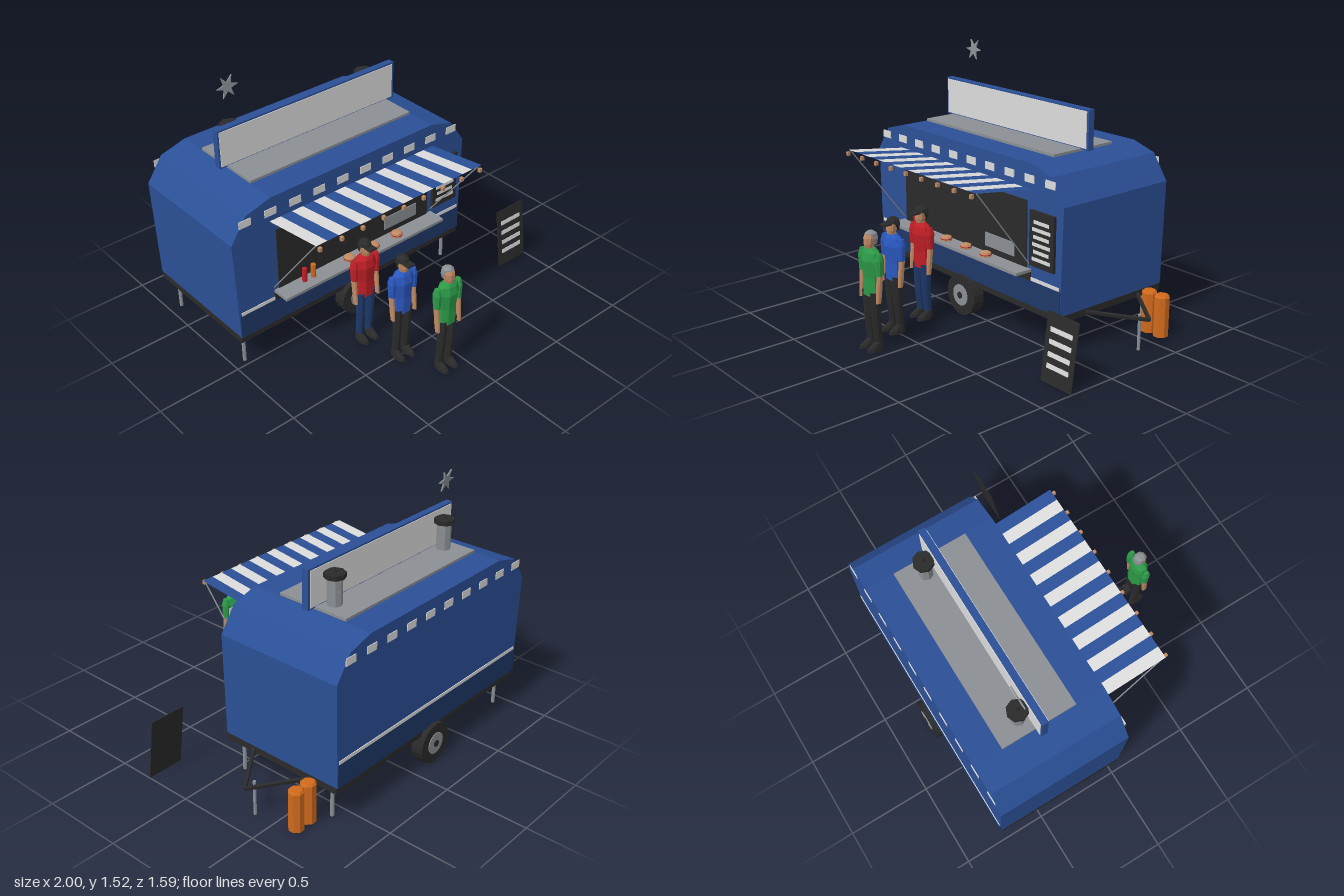
import * as THREE from 'three';

const mat = (name, color) => {
  const m = new THREE.MeshStandardMaterial({ color, flatShading: true });
  m.name = name;
  return m;
};

export function createModel() {
  const M = {
    blue: mat('bodyBlue', 0x2b5097), navy: mat('navy', 0x1e3869), white: mat('offWhite', 0xdcdcdc),
    dark: mat('charcoal', 0x2a2a2a), grey: mat('metalGrey', 0x8b9094), orange: mat('orange', 0xd06a1c),
    skin: mat('skin', 0xc08a64), red: mat('red', 0xc01f26), green: mat('green', 0x2c9a48),
    shirt: mat('brightBlue', 0x2a58c0),
  };
  const model = new THREE.Group();
  model.name = 'foodTrailer';

  const add = (name, geo, m, x = 0, y = 0, z = 0, parent = model) => {
    const mesh = new THREE.Mesh(geo, m);
    mesh.name = name;
    mesh.position.set(x, y, z);
    parent.add(mesh);
    return mesh;
  };
  // Box given by its limits on each axis
  const box = (name, m, x0, x1, y0, y1, z0, z1, parent) =>
    add(name, new THREE.BoxGeometry(x1 - x0, y1 - y0, z1 - z0), m,
      (x0 + x1) / 2, (y0 + y1) / 2, (z0 + z1) / 2, parent);
  // Upright cylinder from y0 to y1
  const post = (name, m, x, z, r, y0, y1, sides = 8) =>
    add(name, new THREE.CylinderGeometry(r, r, y1 - y0, sides), m, x, (y0 + y1) / 2, z);
  // Rod between two points
  const rod = (name, m, a, b, r, sides = 6) => {
    const p = new THREE.Vector3(...a), q = new THREE.Vector3(...b), d = q.clone().sub(p);
    const mesh = add(name, new THREE.CylinderGeometry(r, r, d.length(), sides), m);
    mesh.position.copy(p).add(q).multiplyScalar(0.5);
    mesh.quaternion.setFromUnitVectors(new THREE.Vector3(0, 1, 0), d.normalize());
    return mesh;
  };
  // Closed solid through elliptical rings [y, rx, rz, zOffset], bottom to top
  const loft = (rings, n = 8) => {
    const pos = [], idx = [];
    const full = [[rings[0][0], 0, 0, rings[0][3]], ...rings, [rings.at(-1)[0], 0, 0, rings.at(-1)[3]]];
    full.forEach(([y, rx, rz, dz = 0], k) => {
      for (let i = 0; i < n; i++) {
        const a = ((i + 0.5) / n) * Math.PI * 2;
        pos.push(Math.sin(a) * rx, y, Math.cos(a) * rz + dz);
        if (k === 0) continue;
        const j = (i + 1) % n, p = (k - 1) * n, q = k * n;
        idx.push(p + i, p + j, q + j, p + i, q + j, q + i);
      }
    });
    const g = new THREE.BufferGeometry();
    g.setAttribute('position', new THREE.Float32BufferAttribute(pos, 3));
    g.setIndex(idx);
    g.computeVertexNormals();
    return g;
  };

  const F = 0.035, B = -0.76; // front and back faces of the body

  // Body shell
  const outline = [[-0.98, 0.235], [0.64, 0.235], [0.655, 0.85], [0.555, 0.995], [0.4, 1.04],
    [-0.74, 1.04], [-0.9, 0.995], [-1, 0.85]];
  const shell = new THREE.Shape(outline.map(([x, y]) => new THREE.Vector2(x, y)));
  add('body', new THREE.ExtrudeGeometry(shell, { depth: F - B, bevelEnabled: false }), M.blue, 0, 0, B);
  box('chassis', M.dark, -0.98, 0.64, 0.195, 0.235, B + 0.005, F - 0.005);

  // Painted bands and light squares on both long sides
  for (const [z0, z1] of [[F, F + 0.004], [B - 0.004, B]]) {
    box('lowerBand', M.navy, -0.98, 0.64, 0.235, 0.38, z0, z1);
    box('trimStripe', M.white, -0.97, 0.63, 0.38, 0.4, z0, z1);
    for (let i = 0; i < 10; i++) {
      const x = -0.91 + i * 0.1625;
      box('trimSquare', M.white, x - 0.038, x + 0.038, 0.932, 0.976, z0, z1);
    }
  }

  // Serving hatch, counter and goods
  box('hatch', M.dark, -0.72, 0.375, 0.44, 0.83, F, F + 0.006);
  box('hatchWindow', M.grey, 0.035, 0.28, 0.485, 0.565, F + 0.006, F + 0.012);
  box('counterApron', M.dark, -0.75, 0.41, 0.38, 0.43, F, F + 0.009);
  box('counter', M.grey, -0.75, 0.41, 0.43, 0.447, F, 0.145);
  post('redBottle', M.red, -0.575, 0.08, 0.015, 0.447, 0.53);
  post('orangeBottle', M.orange, -0.515, 0.08, 0.015, 0.447, 0.53);
  for (const x of [-0.265, -0.085, 0.09]) {
    post('bunBottom', M.skin, x, 0.09, 0.034, 0.447, 0.456);
    post('filling', M.red, x, 0.09, 0.035, 0.456, 0.461);
    add('bunTop', loft([[0.461, 0.034, 0.034, 0], [0.47, 0.03, 0.03, 0], [0.476, 0.015, 0.015, 0]]), M.skin, x, 0, 0.09);
  }

  // Striped awning with struts and bulbs
  const awning = new THREE.Group();
  awning.name = 'awning';
  awning.position.set(-0.172, 0.895, F);
  awning.rotation.x = -Math.atan2(0.053, 0.39);
  model.add(awning);
  const reach = Math.hypot(0.39, 0.053), W = 1.166, sw = W / 16;
  for (let i = 0; i < 16; i++) {
    const g = new THREE.PlaneGeometry(sw, reach).rotateX(-Math.PI / 2);
    add('awningStripe', g, i % 2 ? M.blue : M.white, -W / 2 + (i + 0.5) * sw, 0.002, reach / 2, awning);
  }
  add('awningUnderside', new THREE.PlaneGeometry(W, reach).rotateX(Math.PI / 2), M.navy, 0, 0, reach / 2, awning);
  for (const x of [-0.748, 0.405]) rod('awningStrut', M.grey, [x, 0.463, F], [x, 0.945, 0.415], 0.004);
  for (let i = 0; i < 9; i++) {
    const x = -0.74 + i * 0.141;
    box('bulb', M.skin, x - 0.009, x + 0.009, 0.92, 0.942, 0.427, 0.445);
  }

  // Wall menu
  box('wallMenu', M.dark, 0.41, 0.6, 0.475, 0.79, F, 0.053);
  for (let i = 0; i < 6; i++) {
    const y = 0.73 - i * 0.042, h = i % 2 ? 0.07 : 0.06;
    box('menuLine', M.white, 0.505 - h, 0.505 + h, y - 0.01, y + 0.01, 0.053, 0.056);
  }

  // Roof plate, sign board and chimneys
  box('roofPlate', M.grey, -0.74, 0.39, 1.04, 1.055, -0.59, -0.14);
  box('signBoard', M.blue, -0.79, 0.445, 1.05, 1.28, -0.385, -0.345);
  box('signFace', M.white, -0.78, 0.43, 1.06, 1.27, -0.345, -0.341);
  box('signBack', M.white, -0.78, 0.43, 1.06, 1.27, -0.389, -0.385);
  for (const x of [-0.645, 0.3]) {
    post('chimney', M.grey, x, -0.44, 0.042, 1.055, 1.21);
    post('chimneyCap', M.dark, x, -0.44, 0.06, 1.21, 1.237);
    add('capTip', new THREE.ConeGeometry(0.012, 0.025, 6), M.dark, x, 1.248, -0.44);
  }

  // Floating six-pointed star
  const star = new THREE.Shape(Array.from({ length: 12 }, (_, i) => {
    const a = (i * Math.PI) / 6, r = i % 2 ? 0.026 : 0.068;
    return new THREE.Vector2(Math.cos(a) * r, Math.sin(a) * r);
  }));
  add('star', new THREE.ExtrudeGeometry(star, { depth: 0.008, bevelEnabled: false }), M.grey, -0.645, 1.46, -0.44)
    .rotation.x = -0.12;

  // Wheels and axle
  rod('axle', M.dark, [-0.17, 0.125, -0.74], [-0.17, 0.125, 0.03], 0.016);
  for (const [z, s] of [[0.025, 1], [-0.752, -1]]) {
    const wheel = (name, m, r, t, dz) =>
      add(name, new THREE.CylinderGeometry(r, r, t, 18).rotateX(Math.PI / 2), m, -0.17, 0.125, z + s * dz);
    wheel('tyre', M.dark, 0.123, 0.075, 0);
    wheel('rim', M.grey, 0.065, 0.006, 0.039);
    wheel('hub', M.dark, 0.02, 0.008, 0.044);
  }

  // Legs, tow frame and gas bottles
  for (const x of [-0.925, 0.585]) for (const z of [-0.04, -0.68]) post('leg', M.grey, x, z, 0.011, 0, 0.2);
  for (const z of [-0.58, -0.16]) rod('towBeam', M.dark, [0.63, 0.215, z], [0.915, 0.2, -0.37], 0.012, 4);
  post('jockeyLeg', M.grey, 0.845, -0.37, 0.009, 0, 0.21);
  for (const x of [0.697, 0.79]) {
    add('gasBottle', loft([[0, 0.045, 0.045, 0], [0.235, 0.045, 0.045, 0], [0.247, 0.034, 0.034, 0]]), M.orange, x, 0, -0.612);
  }

  // Leaning pavement board
  const board = new THREE.Group();
  board.name = 'pavementBoard';
  board.position.set(0.883, 0, 0.293);
  board.rotation.x = -0.13;
  model.add(board);
  box('boardPanel', M.dark, -0.113, 0.113, 0, 0.38, -0.004, 0, board);
  for (const y of [0.095, 0.158, 0.225, 0.291]) box('boardLine', M.white, -0.08, 0.08, y - 0.013, y + 0.013, 0, 0.003, board);

  // Queue of people
  const person = (name, x, z, top, trousers, hair, cap) => {
    const p = new THREE.Group();
    p.name = name;
    p.position.set(x, 0, z);
    model.add(p);
    add('torso', loft([[0.32, 0.062, 0.042, 0], [0.42, 0.058, 0.042, 0], [0.52, 0.07, 0.05, 0.002],
      [0.565, 0.062, 0.04, 0], [0.585, 0.025, 0.025, 0]]), top, 0, 0, 0, p);
    add('neck', loft([[0.575, 0.02, 0.02, 0], [0.615, 0.02, 0.02, 0.002]]), M.skin, 0, 0, 0, p);
    add('head', loft([[0.588, 0.018, 0.018, 0.016], [0.61, 0.029, 0.034, 0.006], [0.645, 0.034, 0.038, 0.002],
      [0.665, 0.029, 0.032, 0], [0.675, 0.015, 0.018, 0]]), M.skin, 0, 0, 0, p);
    add('hair', loft([[0.605, 0.025, 0.02, -0.018], [0.64, 0.036, 0.032, -0.012], [0.668, 0.032, 0.034, -0.003],
      [0.681, 0.015, 0.018, 0]]), hair, 0, 0, 0, p);
    if (cap) {
      add('cap', loft([[0.648, 0.037, 0.041, 0], [0.668, 0.032, 0.035, 0], [0.682, 0.014, 0.016, 0]]), hair, 0, 0, 0, p);
      box('capBrim', hair, -0.025, 0.025, 0.643, 0.651, 0.02, 0.072, p);
    }
    for (const s of [-1, 1]) {
      add('leg', loft([[0.04, 0.02, 0.024, -0.012], [0.18, 0.024, 0.028, 0], [0.34, 0.032, 0.037, 0]]), trousers, s * 0.033, 0, 0, p);
      add('shoe', loft([[0, 0.024, 0.056, 0.014], [0.018, 0.023, 0.052, 0.012], [0.05, 0.018, 0.025, -0.012]]), M.dark, s * 0.036, 0, 0, p);
      add('sleeve', loft([[0.445, 0.019, 0.024, 0], [0.53, 0.022, 0.028, 0], [0.568, 0.013, 0.017, 0]]), top, s * 0.077, 0, 0, p);
      add('forearm', loft([[0.29, 0.01, 0.016, 0.014], [0.33, 0.012, 0.018, 0.01], [0.45, 0.016, 0.019, 0]]), M.skin, s * 0.079, 0, 0, p);
    }
  };
  person('redCustomer', -0.29, 0.25, M.red, M.navy, M.dark, true);
  person('blueCustomer', -0.232, 0.493, M.shirt, M.dark, M.dark, true);
  person('greenCustomer', -0.117, 0.722, M.green, M.dark, M.grey, false);

  return model;
}
